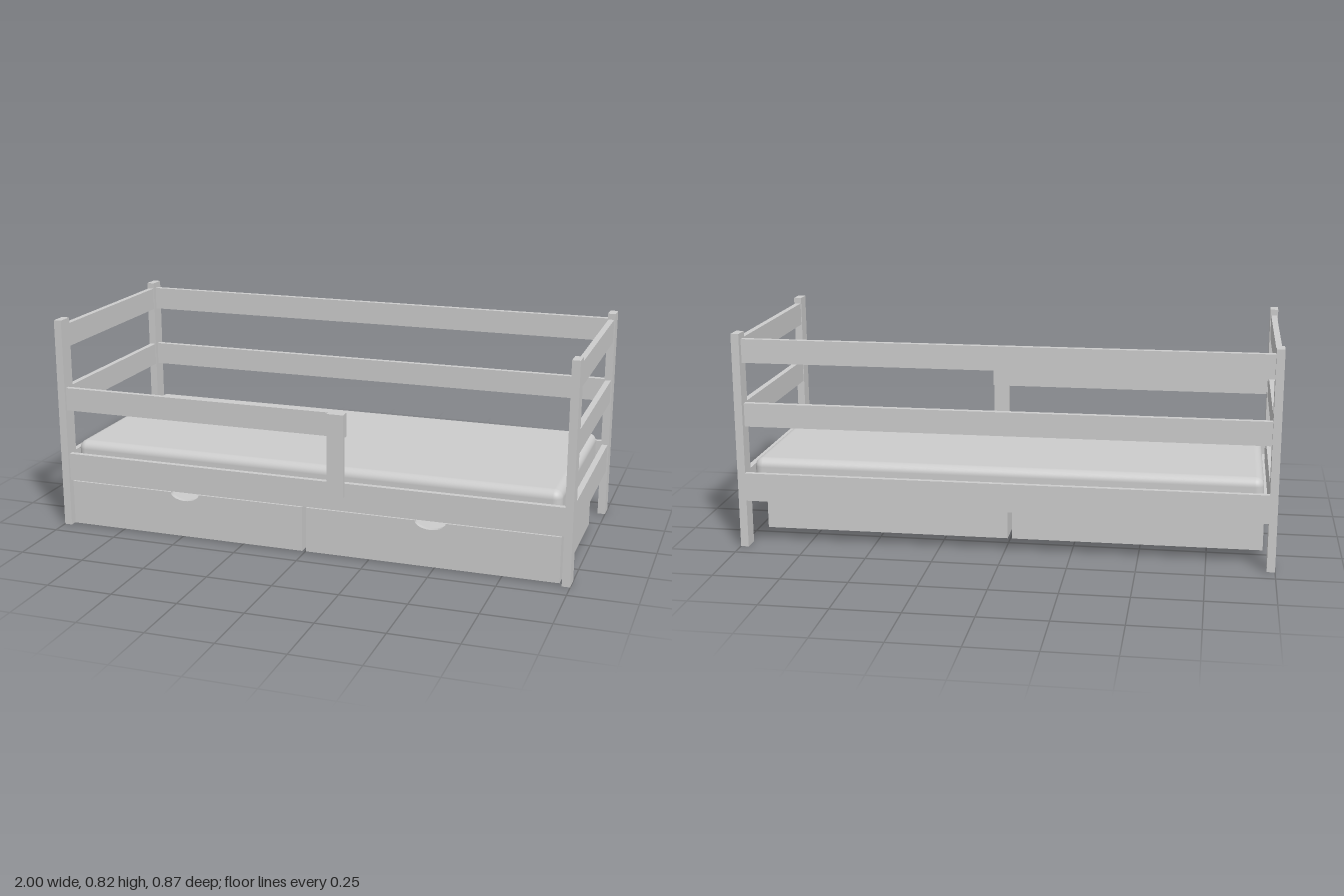
import * as THREE from 'three';
import { RoundedBoxGeometry } from 'three/addons/geometries/RoundedBoxGeometry.js';

const material = new THREE.MeshStandardMaterial({ color: 0xcccccc });

// Adds a box given by its lower and upper limits on each axis
function addBox(parent, name, [x0, x1], [y0, y1], [z0, z1]) {
  const mesh = new THREE.Mesh(new THREE.BoxGeometry(x1 - x0, y1 - y0, z1 - z0), material);
  mesh.position.set((x0 + x1) / 2, (y0 + y1) / 2, (z0 + z1) / 2);
  mesh.name = name;
  parent.add(mesh);
  return mesh;
}

// Open drawer with a half-round finger notch in its front panel
function createDrawer(centerX) {
  const drawer = new THREE.Group();
  drawer.name = 'drawer';
  const w = 0.476, y0 = 0.006, y1 = 0.179, back = -0.217, front = 0.415, t = 0.018;

  const notchR = 0.058, notchDepth = 0.03;
  const shape = new THREE.Shape();
  shape.moveTo(-w, y0);
  shape.lineTo(w, y0);
  shape.lineTo(w, y1);
  shape.lineTo(notchR, y1);
  shape.absellipse(0, y1, notchR, notchDepth, 0, Math.PI, true);
  shape.lineTo(-w, y1);
  shape.closePath();
  const panel = new THREE.Mesh(
    new THREE.ExtrudeGeometry(shape, { depth: t, bevelEnabled: false, curveSegments: 16 }), material);
  panel.position.z = front - t;
  panel.name = 'drawerFront';
  drawer.add(panel);

  addBox(drawer, 'drawerBottom', [-w, w], [y0, y0 + t], [back, front - t]);
  addBox(drawer, 'drawerBack', [-w, w], [y0 + t, y1], [back, back + t]);
  for (const s of [-1, 1]) {
    const x = s * (w - t / 2);
    addBox(drawer, 'drawerSide', [x - t / 2, x + t / 2], [y0 + t, y1], [back + t, front - t]);
  }
  drawer.position.x = centerX;
  return drawer;
}

export function createModel() {
  const bed = new THREE.Group();
  bed.name = 'childBed';

  const topRail = [0.708, 0.797], midRail = [0.465, 0.554], frameRail = [0.183, 0.29];
  const frontPost = [0.364, 0.427], backPost = [-0.433, -0.37];

  // Two end frames: a pair of posts joined by three cross rails
  for (const s of [-1, 1]) {
    const end = new THREE.Group();
    end.name = s > 0 ? 'leftEnd' : 'rightEnd';
    const postX = s > 0 ? [0.97, 1] : [-1, -0.97];
    const railX = s > 0 ? [0.973, 0.995] : [-0.995, -0.973];
    addBox(end, 'frontPost', postX, [0, 0.82], frontPost);
    addBox(end, 'backPost', postX, [0, 0.82], backPost);
    for (const y of [topRail, midRail, frameRail]) {
      addBox(end, 'endRail', railX, y, [backPost[1], frontPost[0]]);
    }
    bed.add(end);
  }

  // Long rails of the back and front
  const span = [-0.97, 0.97];
  addBox(bed, 'backTopRail', span, topRail, [-0.411, -0.388]);
  addBox(bed, 'backMiddleRail', span, midRail, [-0.411, -0.388]);
  addBox(bed, 'backFrameRail', span, frameRail, [-0.436, -0.416]);
  addBox(bed, 'frontFrameRail', span, frameRail, [0.396, 0.417]);

  // Short guard rail with its upright
  addBox(bed, 'guardRail', [-0.97, 0.16], midRail, [0.396, 0.417]);
  addBox(bed, 'guardUpright', [0.097, 0.16], [0.24, 0.554], [0.417, 0.437]);

  // Base board and mattress
  addBox(bed, 'baseBoard', [-0.97, 0.97], [0.19, 0.21], [-0.416, 0.396]);
  const mattress = new THREE.Mesh(new RoundedBoxGeometry(1.9, 0.125, 0.776, 6, 0.032), material);
  mattress.position.set(0, 0.2725, -0.002);
  mattress.name = 'mattress';
  bed.add(mattress);

  // Two drawers side by side
  for (const s of [-1, 1]) bed.add(createDrawer(s * 0.484));

  return bed;
}
